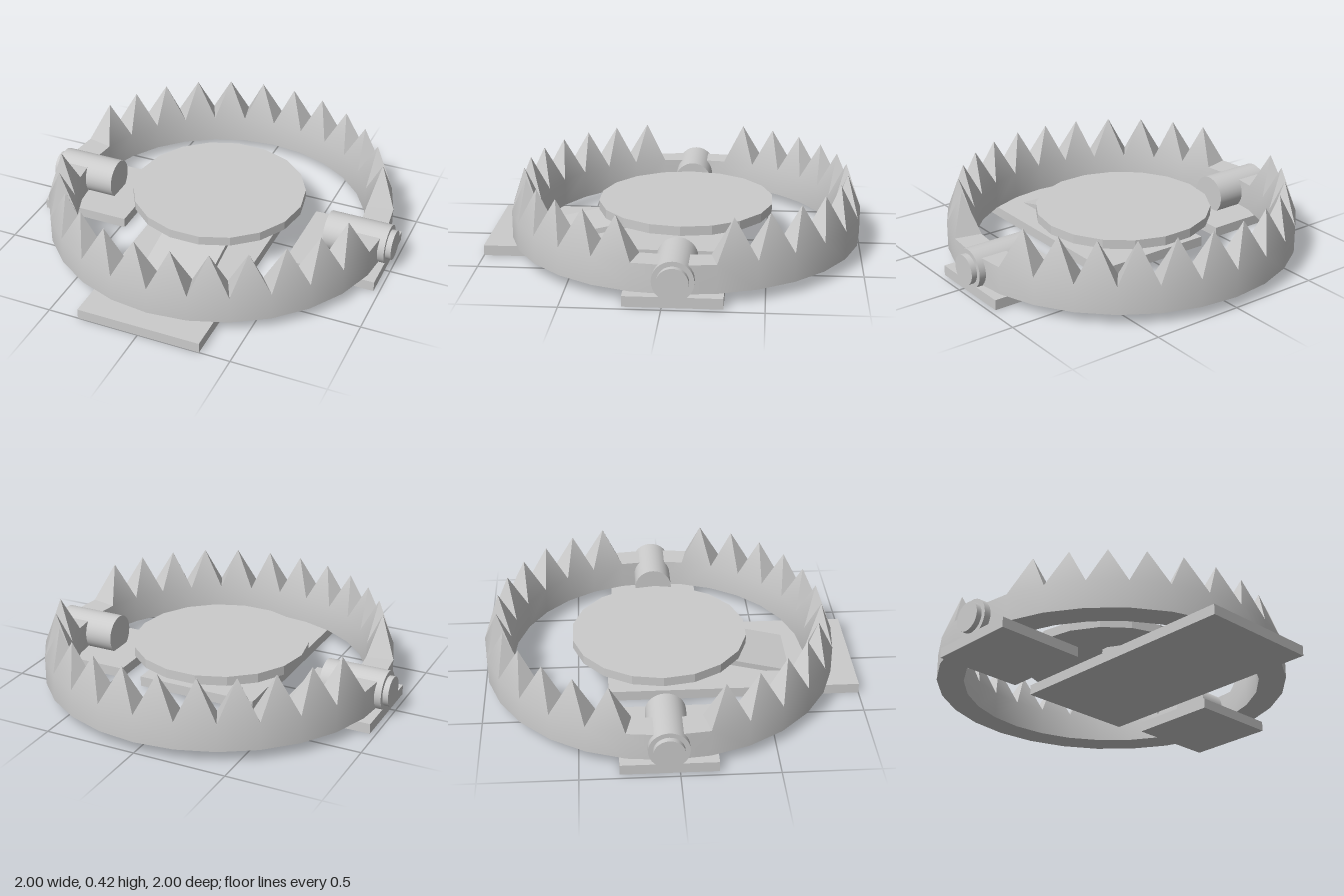
import * as THREE from 'three';
import { toCreasedNormals } from 'three/addons/utils/BufferGeometryUtils.js';

const CZ = -0.055; // z of the ring, pan and hinge axis
const mat = new THREE.MeshStandardMaterial({ color: 0xcccccc });

function add(parent, name, geo, x = 0, y = 0, z = 0) {
  const m = new THREE.Mesh(geo, mat);
  m.name = name;
  m.position.set(x, y, z);
  parent.add(m);
  return m;
}

// Half ring of 14 segments; each one but the two at the hinges carries a pyramid tooth
function jawGeometry() {
  const R = 0.945, r = 0.8, y0 = 0.06, y1 = 0.21, tip = 0.42, n = 14;
  const pos = [];
  const tri = (...p) => p.forEach(v => pos.push(...v));
  const quad = (a, b, c, d) => { tri(a, b, c); tri(a, c, d); };
  const pt = (rad, i, y) => {
    const a = (i / n) * Math.PI;
    return [rad * Math.cos(a), y, rad * Math.sin(a)];
  };
  for (let i = 0; i < n; i++) {
    const j = i + 1;
    const o0 = pt(R, i, y0), o1 = pt(R, j, y0), O0 = pt(R, i, y1), O1 = pt(R, j, y1);
    const i0 = pt(r, i, y0), i1 = pt(r, j, y0), I0 = pt(r, i, y1), I1 = pt(r, j, y1);
    quad(o0, O0, O1, o1); // outer wall
    quad(i0, i1, I1, I0); // inner wall
    quad(i0, o0, o1, i1); // underside
    if (i === 0 || i === n - 1) quad(I0, I1, O1, O0);
    else {
      const apex = pt((R + r) / 2, i + 0.5, tip);
      tri(I0, I1, apex);
      tri(I1, O1, apex);
      tri(O1, O0, apex);
      tri(O0, I0, apex);
    }
  }
  const g = new THREE.BufferGeometry();
  g.setAttribute('position', new THREE.Float32BufferAttribute(pos, 3));
  return toCreasedNormals(g, 0.5);
}

export function createModel() {
  const model = new THREE.Group();
  model.name = 'jawTrap';

  // Two toothed jaws
  const jaw = jawGeometry();
  add(model, 'frontJaw', jaw, 0, 0, CZ);
  add(model, 'backJaw', jaw, 0, 0, CZ).rotation.y = Math.PI;

  // Hinge plates and pins on both sides
  for (const s of [1, -1]) {
    const side = new THREE.Group();
    side.name = s > 0 ? 'leftHinge' : 'rightHinge';
    add(side, 'hingePlate', new THREE.BoxGeometry(0.495, 0.055, 0.495), s * 0.7225, 0.0275, -0.0525);
    add(side, 'hingePin', new THREE.CylinderGeometry(0.105, 0.105, 0.34, 32), s * 0.8, 0.135, CZ)
      .rotation.z = Math.PI / 2;
    add(side, 'pinCap', new THREE.CylinderGeometry(0.08, 0.08, 0.1, 32), s * 0.95, 0.135, CZ)
      .rotation.z = Math.PI / 2;
    model.add(side);
  }

  // Long base plate reaching out to the front
  add(model, 'basePlate', new THREE.BoxGeometry(0.67, 0.055, 1.34), 0, 0.0275, 0.33);

  // Sloping arm from the base plate up to the pan
  const arm = new THREE.Group();
  arm.name = 'panArm';
  arm.position.set(0, 0.049, 0.67);
  arm.rotation.x = 0.235;
  add(arm, 'armPlate', new THREE.BoxGeometry(0.36, 0.03, 0.62), 0, -0.015, -0.31);
  model.add(arm);

  // Trigger pan, 18-sided with corners on the x axis
  const pan = new THREE.CylinderGeometry(0.475, 0.475, 0.05, 18, 1, false, Math.PI / 2);
  add(model, 'triggerPan', toCreasedNormals(pan, 0.2), -0.01, 0.21, CZ);

  return model;
}
